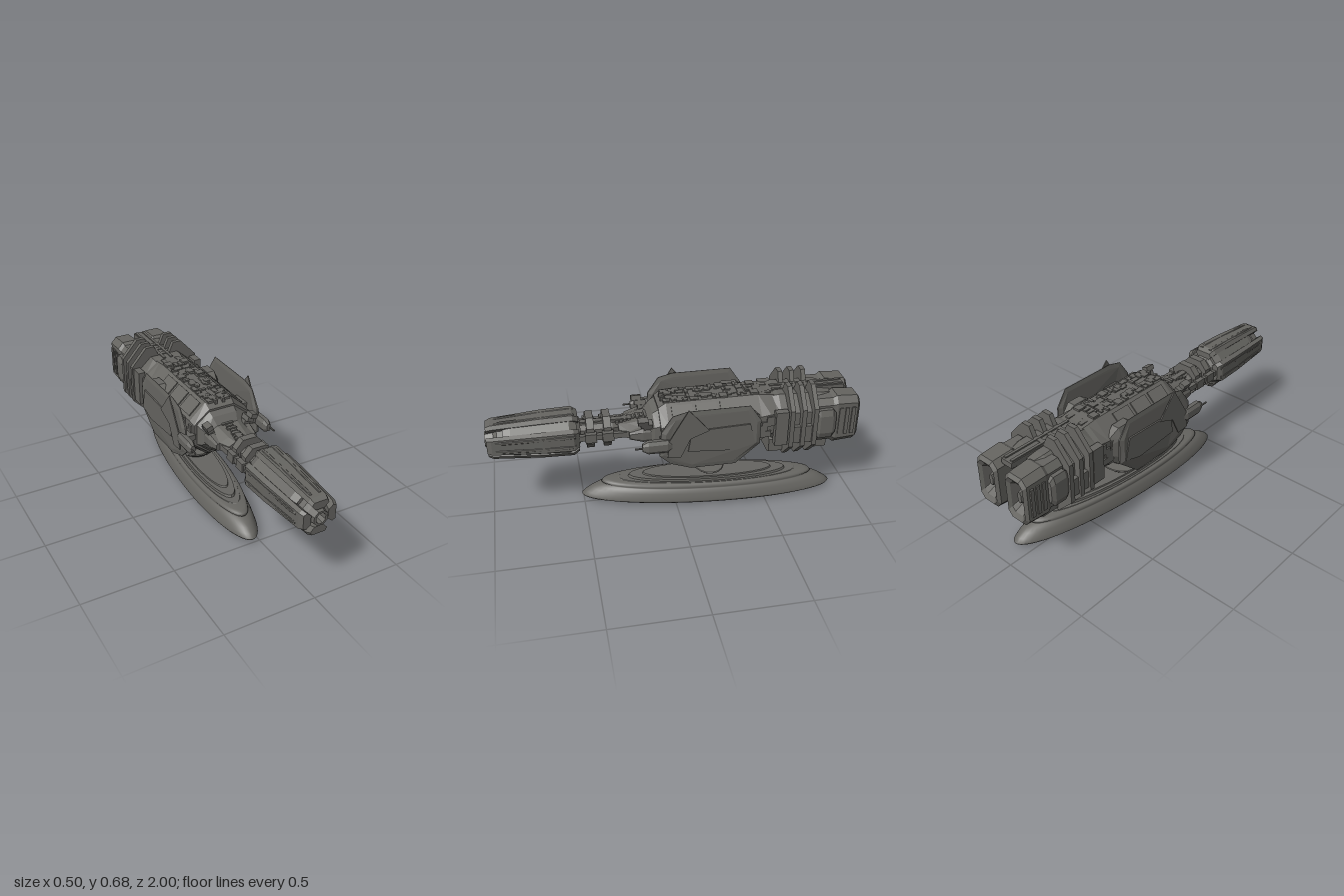
import * as THREE from 'three';

const solid = new THREE.MeshStandardMaterial({ color: 0x666561, flatShading: true, side: THREE.DoubleSide });
const smooth = new THREE.MeshStandardMaterial({ color: 0x666561, side: THREE.DoubleSide });
const CY = 0.475; // height of the gun axis

// chamfered unit rectangle (counter-clockwise, half size 1)
const oct = (c = 0.45, d = c) => [[1, -1 + d], [1, 1 - d], [1 - c, 1], [-1 + c, 1], [-1, 1 - d], [-1, -1 + d], [-1 + c, -1], [1 - c, -1]];

// skin through scaled copies of one outline; section = [z, sx, sy, dx, dy]
function loft(poly, sections) {
  const n = poly.length, pos = [], idx = [];
  for (const [z, sx, sy, dx = 0, dy = 0] of sections)
    for (const [x, y] of poly) pos.push(x * sx + dx, y * sy + dy, z);
  for (let i = 0; i < sections.length - 1; i++)
    for (let k = 0; k < n; k++) {
      const a = i * n + k, b = i * n + (k + 1) % n;
      idx.push(a, b, b + n, a, b + n, a + n);
    }
  const last = (sections.length - 1) * n;
  for (let k = 1; k < n - 1; k++) idx.push(0, k + 1, k, last, last + k, last + k + 1);
  const g = new THREE.BufferGeometry();
  g.setAttribute('position', new THREE.Float32BufferAttribute(pos, 3));
  g.setIndex(idx);
  const flat = g.toNonIndexed();
  flat.computeVertexNormals();
  return flat;
}

const shapeOf = points => new THREE.Shape(points.map(p => new THREE.Vector2(...p)));
const turned = (points, sides) => new THREE.LatheGeometry(points.map(p => new THREE.Vector2(...p)), sides);

// upright plate drawn as (z, y) and centred on x = 0
function sidePlate(points, thickness, bevel) {
  const g = new THREE.ExtrudeGeometry(shapeOf(points), {
    depth: thickness, bevelEnabled: bevel > 0, bevelThickness: bevel, bevelSize: bevel * 2, bevelOffset: -bevel * 2, bevelSegments: 1 });
  g.translate(0, 0, -thickness / 2);
  return g.rotateY(-Math.PI / 2);
}

export function createModel() {
  const model = new THREE.Group();
  model.name = 'mountedCannonShip';
  const add = (name, geo, x = 0, y = 0, z = 0, mat = solid) => {
    const m = new THREE.Mesh(geo, mat);
    m.name = name;
    m.position.set(x, y, z);
    model.add(m);
    return m;
  };
  const box = (name, w, h, d, x, y, z) => add(name, new THREE.BoxGeometry(w, h, d), x, y, z);
  const pair = fn => [-1, 1].forEach(fn);
  let seed = 7;
  const rnd = () => (seed = (seed * 16807) % 2147483647) / 2147483647;

  // oval display base, slightly yawed: rolled rim, hollow underside and a central foot
  const baseProfile = [[0, 0.003], [0.045, 0.003], [0.056, 0.01], [0.062, 0.024], [0.085, 0.036], [0.108, 0.034], [0.122, 0.018],
    [0.134, 0.012], [0.147, 0.016], [0.157, 0.027], [0.158, 0.034], [0.153, 0.054], [0.146, 0.074], [0.139, 0.09], [0.132, 0.097],
    [0.13, 0.102], [0.133, 0.107], [0.131, 0.118], [0.125, 0.124], [0.112, 0.127]];
  const oval = (name, geo, y, mat) => {
    const m = add(name, geo, 0.016, y, -0.195, mat);
    m.scale.set(0.918, 1, 4.48);
    m.rotation.y = -0.09;
  };
  oval('base', turned(baseProfile, 64), 0, smooth);
  for (const [r, y, h] of [[0.114, 0.126, 0.006], [0.1, 0.134, 0.016], [0.082, 0.145, 0.01]])
    oval('baseTier', new THREE.CylinderGeometry(r * 0.98, r, h, 40), y, solid);

  // oval support column with flared discs
  const column = [[0, 0.14], [0.035, 0.14], [0.035, 0.163], [0.078, 0.163], [0.116, 0.19], [0.113, 0.196], [0.042, 0.198],
    [0.05, 0.215], [0.042, 0.222], [0.08, 0.231], [0.08, 0.234], [0.045, 0.24], [0.058, 0.262], [0.116, 0.266],
    [0.118, 0.274], [0.086, 0.3], [0.04, 0.304], [0.04, 0.34]];
  add('supportColumn', turned(column, 16), 0.014, 0, -0.2).scale.z = 0.75;

  // main hull
  add('hull', loft(oct(0.55), [[-0.54, 0.165, 0.125, 0, 0.02], [-0.5, 0.17, 0.13, 0, 0.02], [-0.45, 0.17, 0.157], [0.05, 0.17, 0.157], [0.09, 0.165, 0.13]]), 0, CY, 0);
  add('hullNose', loft(oct(0.5), [[0.08, 0.15, 0.125], [0.12, 0.14, 0.1], [0.15, 0.12, 0.06], [0.25, 0.1, 0.042], [0.3, 0.075, 0.036]]), 0, CY, 0);
  box('keelPlate', 0.14, 0.02, 0.45, 0, 0.32, -0.18);

  pair(s => {
    // shoulder blisters and sloped deck panels
    add('shoulder', loft(oct(0.5), [[-0.44, 0.02, 0.07], [-0.39, 0.045, 0.11], [-0.31, 0.045, 0.11], [-0.25, 0.02, 0.07]]), s * 0.155, CY + 0.01, 0);
    for (const z of [-0.03, -0.16, -0.29]) {
      box('slopedDeckPanel', 0.09, 0.015, 0.11, s * 0.123, 0.588, z).rotation.z = -s * 0.74;
      box('slopedChinePanel', 0.09, 0.015, 0.11, s * 0.123, 0.362, z).rotation.z = s * 0.74;
    }

    // tall armour shield, thinning toward its upper and lower tips
    const shield = sidePlate([[0.11, 0.4], [0.1, 0.54], [0.04, 0.63], [-0.04, 0.65], [-0.37, 0.65], [-0.43, 0.56],
      [-0.43, 0.42], [-0.3, 0.305], [-0.06, 0.305], [0.05, 0.345]], 0.012, 0.012);
    const p = shield.attributes.position;
    for (let i = 0; i < p.count; i++) p.setX(i, p.getX(i) * (1.1 - 5.2 * Math.abs(p.getY(i) - CY)));
    add('flankShield', shield, s * 0.217, 0, 0);
    box('shieldStrut', 0.05, 0.06, 0.1, s * 0.185, 0.5, -0.05);
    box('shieldStrut', 0.05, 0.04, 0.06, s * 0.185, 0.44, -0.25);
    add('shieldWindow', sidePlate([[-0.04, 0.42], [-0.06, 0.54], [-0.37, 0.55], [-0.4, 0.43], [-0.3, 0.4]], 0.008, 0), s * 0.231, 0, 0);

    // thin outer fin and side gun
    add('outerFin', sidePlate([[0.07, 0.4], [0.06, 0.5], [-0.04, 0.67], [-0.15, 0.54], [-0.05, 0.5], [0, 0.395]], 0.006, 0), s * 0.239, 0, 0);
    add('sideGunBody', loft(oct(0.5), [[0.04, 0.012, 0.02], [0.07, 0.022, 0.036], [0.17, 0.022, 0.036], [0.2, 0.012, 0.02]]), s * 0.228, 0.468, 0);
    add('sideGunBarrel', new THREE.CylinderGeometry(0.005, 0.005, 0.08, 8), s * 0.236, 0.468, 0.2).rotation.x = Math.PI / 2;
    box('sideGunMount', 0.06, 0.03, 0.06, s * 0.19, 0.47, 0.07);

    // angled brow turret by the nose
    for (let i = 0; i < 3; i++)
      box('browTurret', 0.036, 0.026, 0.07 - i * 0.008, s * (0.108 + i * 0.012), 0.518 + i * 0.024, 0.14 + i * 0.02).rotation.z = -s * 0.35;
    add('noseCheek', loft(oct(), [[0.1, 0.025, 0.04], [0.18, 0.025, 0.04], [0.25, 0.015, 0.02]]), s * 0.105, CY, 0);
  });

  // neck with collars and side pipes
  add('neck', loft(oct(), [[0.22, 0.06, 0.04], [0.3, 0.045, 0.035], [0.33, 0.055, 0.045], [0.53, 0.055, 0.045]]), 0, CY, 0);
  for (const z of [0.36, 0.45]) {
    add('neckCollar', loft(oct(0.5), [[z - 0.02, 0.08, 0.09], [z + 0.02, 0.08, 0.09]]), 0, CY, 0);
    pair(s => box('collarLug', 0.035, 0.05, 0.06, s * 0.088, CY, z));
  }
  pair(s => {
    box('neckRail', 0.025, 0.03, 0.26, s * 0.085, CY, 0.39);
    box('neckSpine', 0.03, 0.015, 0.3, 0, CY + s * 0.045, 0.36);
  });

  // cannon head: hollow core, four broad prongs and four recessed diagonal strips
  add('cannonCore', loft(oct(0.58), [[0.5, 0.065, 0.065], [0.53, 0.085, 0.085], [0.93, 0.066, 0.062], [0.95, 0.045, 0.045],
    [0.995, 0.038, 0.038], [0.995, 0.025, 0.028], [0.95, 0.022, 0.025]]), 0, CY, 0);
  const prong = [[0.066, -0.036], [0.1, -0.066], [0.124, -0.052], [0.124, 0.052], [0.1, 0.066], [0.066, 0.036]];
  const strip = [[0.07, -0.02], [0.106, -0.026], [0.106, 0.026], [0.07, 0.02]];
  for (let k = 0; k < 4; k++) {
    const turn = k * Math.PI / 2;
    add('cannonProng', loft(prong, [[0.51, 0.84, 0.8], [0.54, 0.98, 1], [0.7, 0.95, 0.96], [0.96, 0.81, 0.8], [0.985, 0.72, 0.7]]), 0, CY, 0).rotation.z = turn;
    add('diagonalStrip', loft(strip, [[0.52, 0.9, 0.9], [0.56, 1.05, 1], [0.86, 0.9, 0.85], [0.9, 0.78, 0.7]]), 0, CY, 0).rotation.z = turn + Math.PI / 4;
    for (const f of [-0.03, 0.03])
      add('prongRidge', loft(oct(0.4), [[0.53, 0.008, 0.01, 0.113, f], [0.57, 0.007, 0.01, 0.117, f],
        [0.9, 0.006, 0.008, 0.104, f * 0.85], [0.94, 0.004, 0.006, 0.1, f * 0.8]]), 0, CY, 0).rotation.z = turn;
  }

  // rear body and its notched octagonal frames
  add('rearBody', loft(oct(0.5), [[-0.86, 0.15, 0.13], [-0.8, 0.17, 0.14], [-0.56, 0.17, 0.15], [-0.52, 0.16, 0.12, 0, 0.02]]), 0, CY, 0);
  const frame = shapeOf([[0.11, 0.265], [0.205, 0.36], [0.205, 0.58], [0.112, 0.683], [0.062, 0.683], [0.036, 0.628],
    [-0.036, 0.628], [-0.062, 0.683], [-0.112, 0.683], [-0.205, 0.58], [-0.205, 0.36], [-0.11, 0.265]]);
  for (const z of [-0.61, -0.675, -0.74])
    add('octagonalFrame', new THREE.ExtrudeGeometry(frame, { depth: 0.025, bevelEnabled: false }), 0, 0, z - 0.0125);
  box('dorsalSpine', 0.07, 0.03, 0.46, 0, 0.608, -0.72);
  pair(s => box('spineRail', 0.015, 0.02, 0.4, s * 0.022, 0.62, -0.74));
  for (const z of [-0.58, -0.79])
    add('underslungPod', loft(oct(0.25), [[z - 0.06, 0.105, 0.05], [z + 0.06, 0.105, 0.05]]), 0, 0.318, 0);

  // twin engines with recessed nozzles
  pair(s => {
    add('engine', loft(oct(0.42, 0.25), [[-0.92, 0.03, 0.05], [-0.985, 0.045, 0.09], [-1, 0.058, 0.115], [-0.985, 0.072, 0.135],
      [-0.87, 0.076, 0.143], [-0.85, 0.068, 0.13], [-0.76, 0.068, 0.13]]), s * 0.1, CY, 0);
    add('nozzlePlug', loft(oct(0.5), [[-0.975, 0.012, 0.03], [-0.91, 0.024, 0.045]]), s * 0.1, CY, 0);
    add('engineFlank', loft(oct(0.4), [[-0.86, 0.02, 0.06], [-0.84, 0.03, 0.085], [-0.77, 0.03, 0.085], [-0.75, 0.02, 0.07]]), s * 0.172, CY, 0);
    for (let i = 0; i < 3; i++) box('engineRib', 0.01, 0.16, 0.02, s * 0.176, CY, -0.89 - i * 0.035);
    box('rearFlankBlock', 0.04, 0.2, 0.07, s * 0.18, CY, -0.555);
    box('rearFlankBlock', 0.03, 0.1, 0.14, s * 0.178, CY - 0.05, -0.68);
  });

  // small surface machinery, mirrored left and right
  for (let i = 0; i < 34; i++) {
    const z = 0.06 - i * 0.017, w = 0.015 + rnd() * 0.03, h = 0.012 + rnd() * 0.016, d = 0.015 + rnd() * 0.03;
    const x = 0.012 + rnd() * 0.05, y = CY + (rnd() - 0.5) * 0.11;
    pair(s => {
      box('deckFitting', w, h, d, s * x, z > -0.45 ? 0.628 : 0.615, z);
      box('flankFitting', 0.02, h * 2, d, s * 0.168, y, z);
    });
  }
  for (let i = 0; i < 8; i++) {
    const w = 0.03 + rnd() * 0.04;
    pair(s => box('noseFitting', w, 0.016, 0.016, 0, CY + s * (0.058 - i * 0.003), 0.15 + i * 0.022));
  }
  return model;
}
